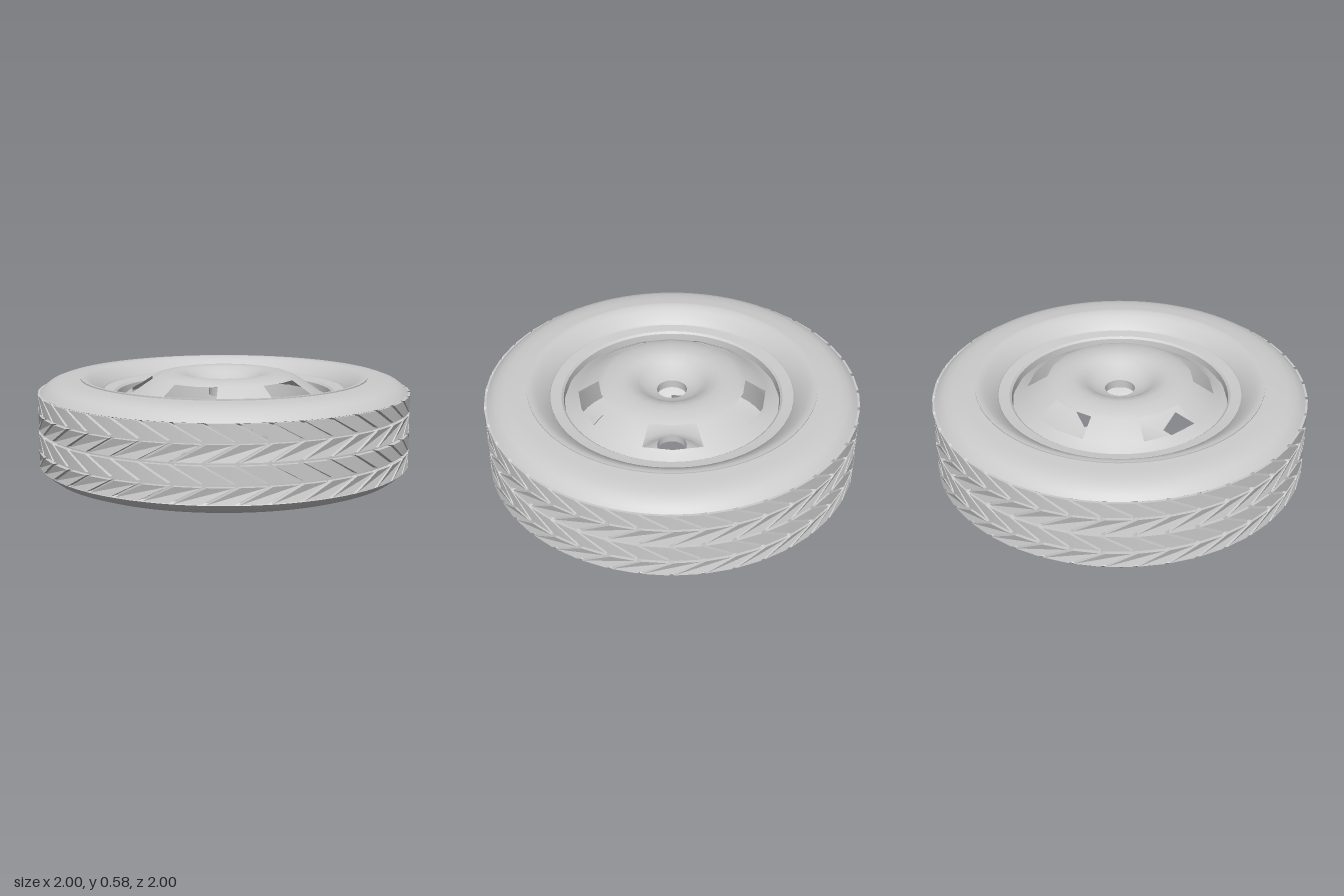
import * as THREE from 'three';
import { toCreasedNormals } from 'three/addons/utils/BufferGeometryUtils.js';

const HEIGHT = 0.58, MID = HEIGHT / 2;
const material = new THREE.MeshStandardMaterial({ color: 0xcccccc, side: THREE.DoubleSide });

function addMesh(parent, name, geometry, crease) {
  const mesh = new THREE.Mesh(toCreasedNormals(geometry, crease), material);
  mesh.name = name;
  parent.add(mesh);
  return mesh;
}

function lathe(points, segments) {
  return new THREE.LatheGeometry(points.map(([r, y]) => new THREE.Vector2(r, y)), segments);
}

function indexed(positions, indices) {
  const geometry = new THREE.BufferGeometry();
  geometry.setAttribute('position', new THREE.Float32BufferAttribute(positions, 3));
  geometry.setIndex(indices);
  return geometry;
}

// Domed wheel disc of 20 sectors with five windows, each two sectors wide
function discGeometry() {
  const profile = [[0.08, 0.455], [0.08, 0.5], [0.095, 0.505], [0.13, 0.515], [0.18, 0.55], [0.22, 0.573],
    [0.26, 0.58], [0.31, 0.577], [0.36, 0.567], [0.39, 0.555], [0.50, 0.485], [0.54, 0.455], [0.578, 0.435]];
  const windowRow = 9, sectors = 20;
  const positions = [], indices = [];
  for (const [r, y] of profile) {
    for (let k = 0; k < sectors; k++) {
      const a = THREE.MathUtils.degToRad(9 + 18 * k);
      positions.push(r * Math.cos(a), y, r * Math.sin(a));
    }
  }
  for (let i = 0; i < profile.length - 1; i++) {
    for (let k = 0; k < sectors; k++) {
      if (i === windowRow && k % 4 < 2) continue;
      const a = i * sectors + k, b = i * sectors + (k + 1) % sectors;
      const c = a + sectors, d = b + sectors;
      indices.push(a, b, c, b, d, c);
    }
  }
  return indexed(positions, indices);
}

// One row of slanted tread blocks around the tyre; the roots are slightly wider than the tops
function treadRow(y0, y1, slant) {
  const count = 40, pitch = (Math.PI * 2) / count, width = pitch * 0.83, shift = pitch * slant;
  const positions = [], indices = [];
  for (let k = 0; k < count; k++) {
    const base = positions.length / 3, start = k * pitch;
    for (const [r, flare] of [[0.955, 0.04], [0.998, 0]]) {
      for (const [y, edge] of [[y0, 0], [y1, 1]]) {
        for (const side of [0, 1]) {
          const a = start + side * width + edge * shift + (side ? 1 : -1) * flare * pitch;
          positions.push(r * Math.sin(a), y, r * Math.cos(a));
        }
      }
    }
    for (const [a, b, c, d] of [[4, 5, 7, 6], [0, 1, 5, 4], [2, 6, 7, 3], [0, 4, 6, 2], [1, 3, 7, 5]]) {
      indices.push(base + a, base + b, base + c, base + a, base + c, base + d);
    }
  }
  return indexed(positions, indices);
}

export function createModel() {
  const wheel = new THREE.Group();
  wheel.name = 'wheel';

  // Tyre carcass, mirrored about mid height
  const upper = [[0.972, MID], [0.972, 0.475], [0.985, 0.487], [0.965, 0.508], [0.935, 0.53],
    [0.89, 0.546], [0.83, 0.552], [0.765, 0.555]];
  const lower = upper.slice(1).reverse().map(([r, y]) => [r, HEIGHT - y]);
  addMesh(wheel, 'tyre', lathe([...lower, ...upper], 80), 0.6);

  // Four rows of blocks forming two chevron bands
  const tread = new THREE.Group();
  tread.name = 'tread';
  const rows = [[0.1, 0.182, 1], [0.198, 0.285, -1], [0.3, 0.387, 1], [0.4, 0.486, -1]];
  for (const [y0, y1, slant] of rows) addMesh(tread, 'treadRow', treadRow(y0, y1, slant), 0.3);
  wheel.add(tread);

  // Each face carries a stepped rim and a disc; the lower face is the upper one turned over
  const rimProfile = [[0.57, MID], [0.575, 0.44], [0.578, 0.472], [0.59, 0.482], [0.62, 0.485],
    [0.648, 0.488], [0.655, 0.498], [0.72, 0.545], [0.75, 0.56], [0.77, 0.561], [0.77, 0.545]];
  for (const name of ['upperFace', 'lowerFace']) {
    const face = new THREE.Group();
    face.name = name;
    addMesh(face, 'rim', lathe(rimProfile.slice().reverse(), 60), 0.5);
    addMesh(face, 'disc', discGeometry(), 0.8);
    if (name === 'lowerFace') {
      face.rotation.z = Math.PI;
      face.position.y = HEIGHT;
    }
    wheel.add(face);
  }
  return wheel;
}
